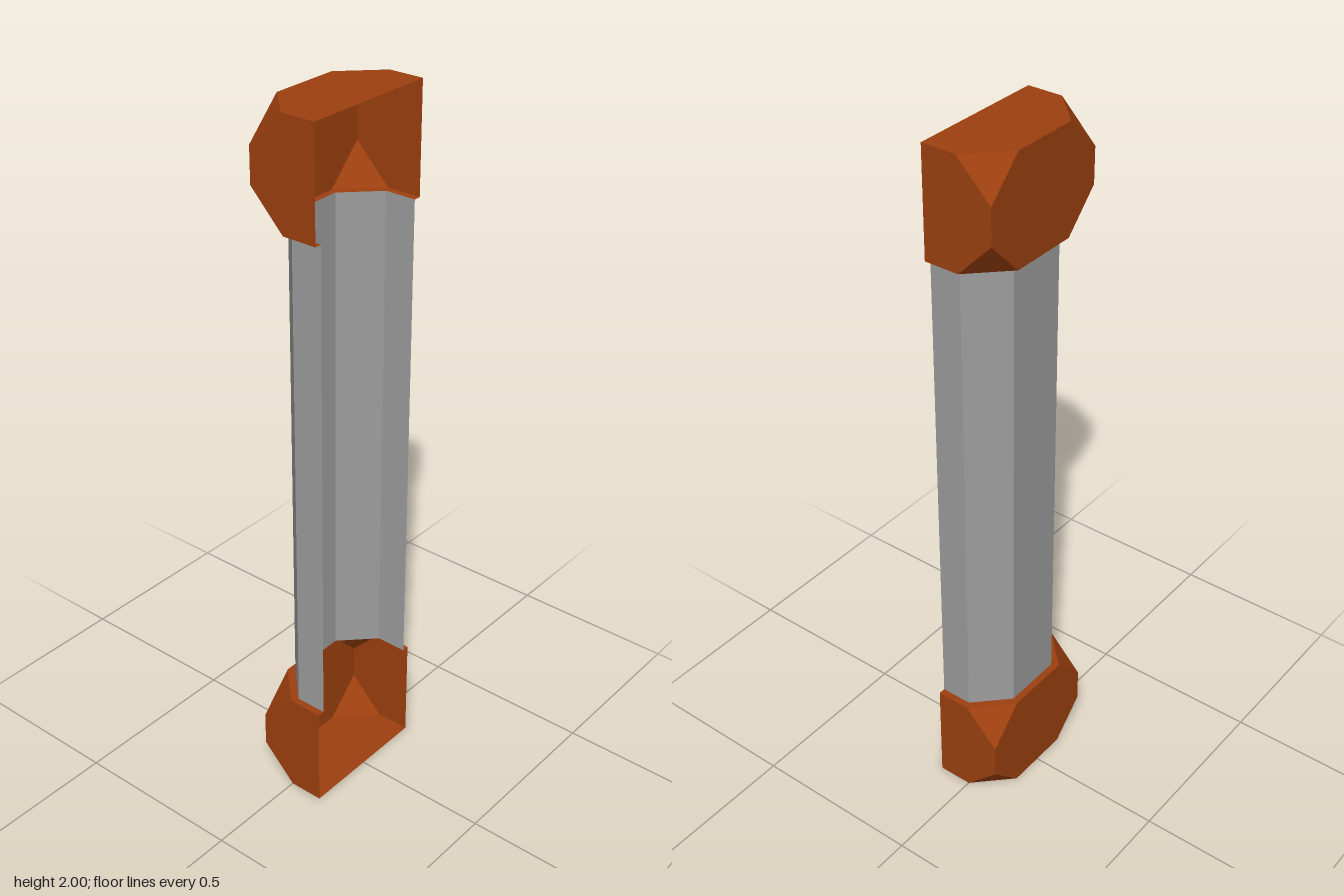
import * as THREE from 'three';

const brown = new THREE.MeshStandardMaterial({ color: 0x9d400f, flatShading: true, side: THREE.DoubleSide });
const grey = new THREE.MeshStandardMaterial({ color: 0x9d9d9d, flatShading: true, side: THREE.DoubleSide });

// Plan outlines [x, z], from the front left round the back; the front is open.
const blockPlan = [[-0.2, 0.1], [-0.2, 0], [-0.1, -0.1], [0.1, -0.1], [0.2, 0], [0.2, 0.1]];
// The shaft is the same outline, slightly smaller and flush at the front.
const shaftPlan = blockPlan.map(([x, z]) => [x * 0.9, 0.1 + (z - 0.1) * 0.9]);
const H = 0.303; // block height

const at = ([x, z], y) => [x, y, z];

// Flat convex polygons, each split into a fan of triangles.
function polygonMesh(name, polygons, material) {
  const pos = [];
  for (const p of polygons)
    for (let i = 1; i < p.length - 1; i++) pos.push(...p[0], ...p[i], ...p[i + 1]);
  const geo = new THREE.BufferGeometry();
  geo.setAttribute('position', new THREE.Float32BufferAttribute(pos, 3));
  geo.computeVertexNormals();
  const mesh = new THREE.Mesh(geo, material);
  mesh.name = name;
  return mesh;
}

// End block shell: closed at y = 0, back corners cut off, ledge at y = H round the shaft.
function endBlock(name) {
  const faces = [];
  const back = [[0.1, 0], [-0.1, 0], [-0.2, 0.1], [-0.2, 0.2], [-0.1, H], [0.1, H], [0.2, 0.2], [0.2, 0.1]];
  faces.push(back.map(([x, y]) => [x, y, -0.1]));
  faces.push(blockPlan.map((p) => at(p, 0)));

  // side wall and corner cuts, mirrored left and right
  const half = [
    [[0.2, 0, 0.1], [0.2, 0, 0], [0.2, 0.1, -0.1], [0.2, 0.2, -0.1], [0.2, H, 0], [0.2, H, 0.1]],
    [[0.2, 0, 0], [0.1, 0, -0.1], [0.2, 0.1, -0.1]],
    [[0.2, H, 0], [0.2, 0.2, -0.1], [0.1, H, -0.1]],
  ];
  for (const face of half) {
    faces.push(face);
    faces.push(face.map(([x, y, z]) => [-x, y, z]).reverse());
  }

  // narrow ledge between block and shaft
  for (let i = 0; i < 5; i++)
    faces.push([at(blockPlan[i], H), at(shaftPlan[i], H), at(shaftPlan[i + 1], H), at(blockPlan[i + 1], H)]);

  return polygonMesh(name, faces, brown);
}

export function createModel() {
  const group = new THREE.Group();
  group.name = 'pillar';

  // base and capital, the capital turned upside down
  const base = endBlock('base');
  const capital = endBlock('capital');
  capital.scale.y = -1;
  capital.position.y = 2;

  // shaft walls, open at the front
  const walls = [];
  for (let i = 0; i < 5; i++) {
    const a = shaftPlan[i], b = shaftPlan[i + 1];
    walls.push([at(b, H), at(a, H), at(a, 2 - H), at(b, 2 - H)]);
  }
  group.add(base, capital, polygonMesh('shaft', walls, grey));
  return group;
}
